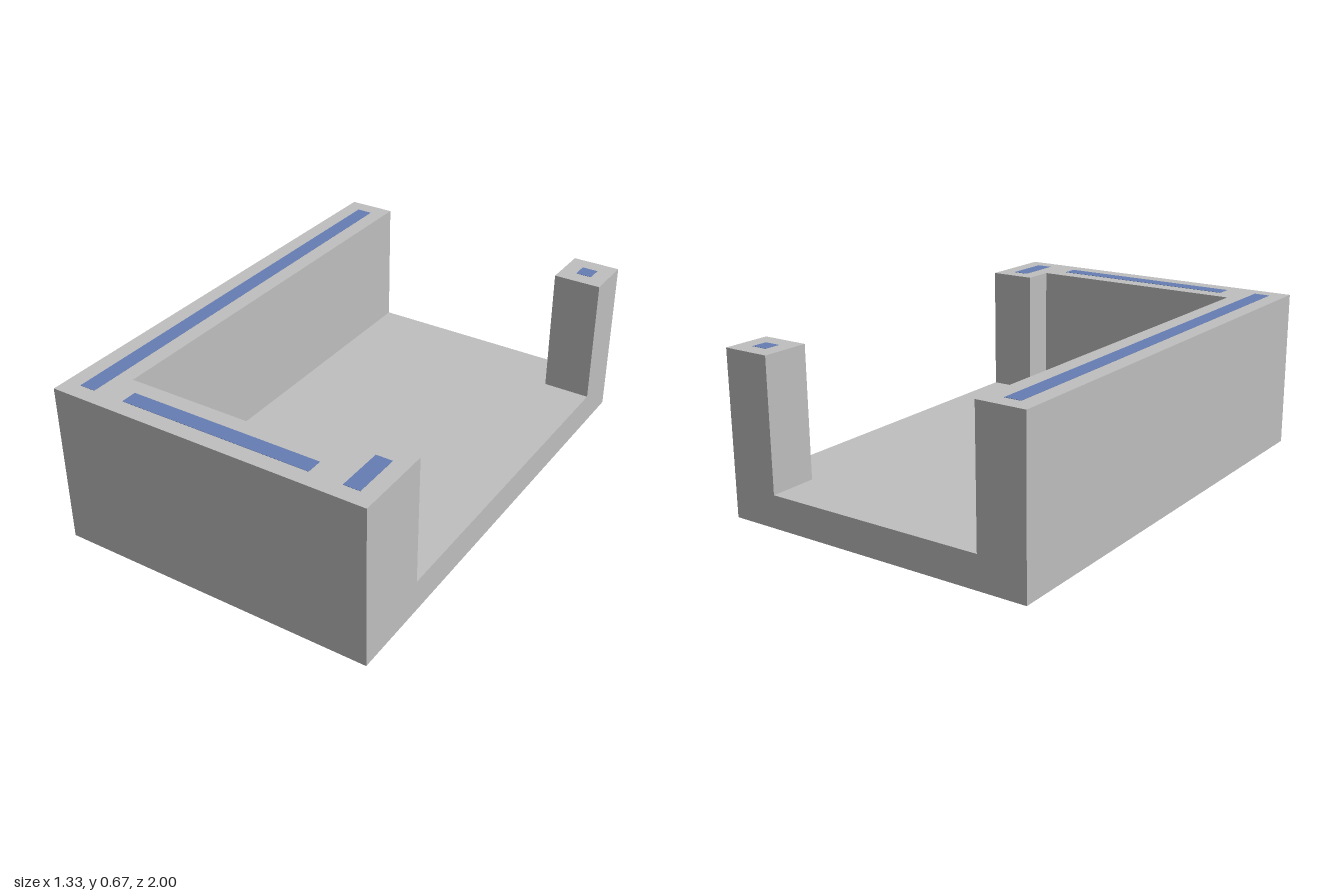
import * as THREE from 'three';

export function createModel() {
  const model = new THREE.Group();
  const grey = new THREE.MeshStandardMaterial({ color: 0xbfbfbf });
  grey.name = 'grey';
  const blue = new THREE.MeshStandardMaterial({ color: 0x667db3 });
  blue.name = 'blue';

  const W = 2 / 3, H = 2 / 3, FLOOR = 0.1333;
  const INNER = 0.4667, POST = 0.4667;

  // Box given by its extents along each axis
  function box(name, material, [x0, x1], [y0, y1], [z0, z1]) {
    const mesh = new THREE.Mesh(new THREE.BoxGeometry(x1 - x0, y1 - y0, z1 - z0), material);
    mesh.position.set((x0 + x1) / 2, (y0 + y1) / 2, (z0 + z1) / 2);
    mesh.name = name;
    model.add(mesh);
  }

  // Floor slab and free-standing back corner post
  box('floor', grey, [-W, W], [0, FLOOR], [-1, 1]);
  box('backPost', grey, [POST, W], [FLOOR, H], [-1, -0.8]);

  // Side wall, front wall and front corner post in one plan outline (x, z)
  const plan = [
    [-W, -1], [-INNER, -1], [-INNER, 0.8], [POST, 0.8],
    [POST, 0.6667], [W, 0.6667], [W, 1], [-W, 1],
  ];
  const outline = new THREE.Shape(plan.map(([x, z]) => new THREE.Vector2(x, -z)));
  const wallGeometry = new THREE.ExtrudeGeometry(outline, { depth: H - FLOOR, bevelEnabled: false });
  wallGeometry.rotateX(-Math.PI / 2);
  const walls = new THREE.Mesh(wallGeometry, grey);
  walls.name = 'walls';
  walls.position.y = FLOOR;
  model.add(walls);

  // Thin blue inlays along the wall tops
  const inlays = {
    sideWallInlay: [[-0.6, -0.5333], [-0.9333, 0.9333]],
    frontWallInlay: [[-0.4, 0.4], [0.8667, 0.9333]],
    frontPostInlay: [[0.5333, 0.6], [0.7333, 0.9333]],
    backPostInlay: [[0.5333, 0.6], [-0.9333, -0.8667]],
  };
  for (const [name, [x, z]] of Object.entries(inlays)) {
    box(name, blue, x, [H - 0.001, H + 0.001], z);
  }

  return model;
}
